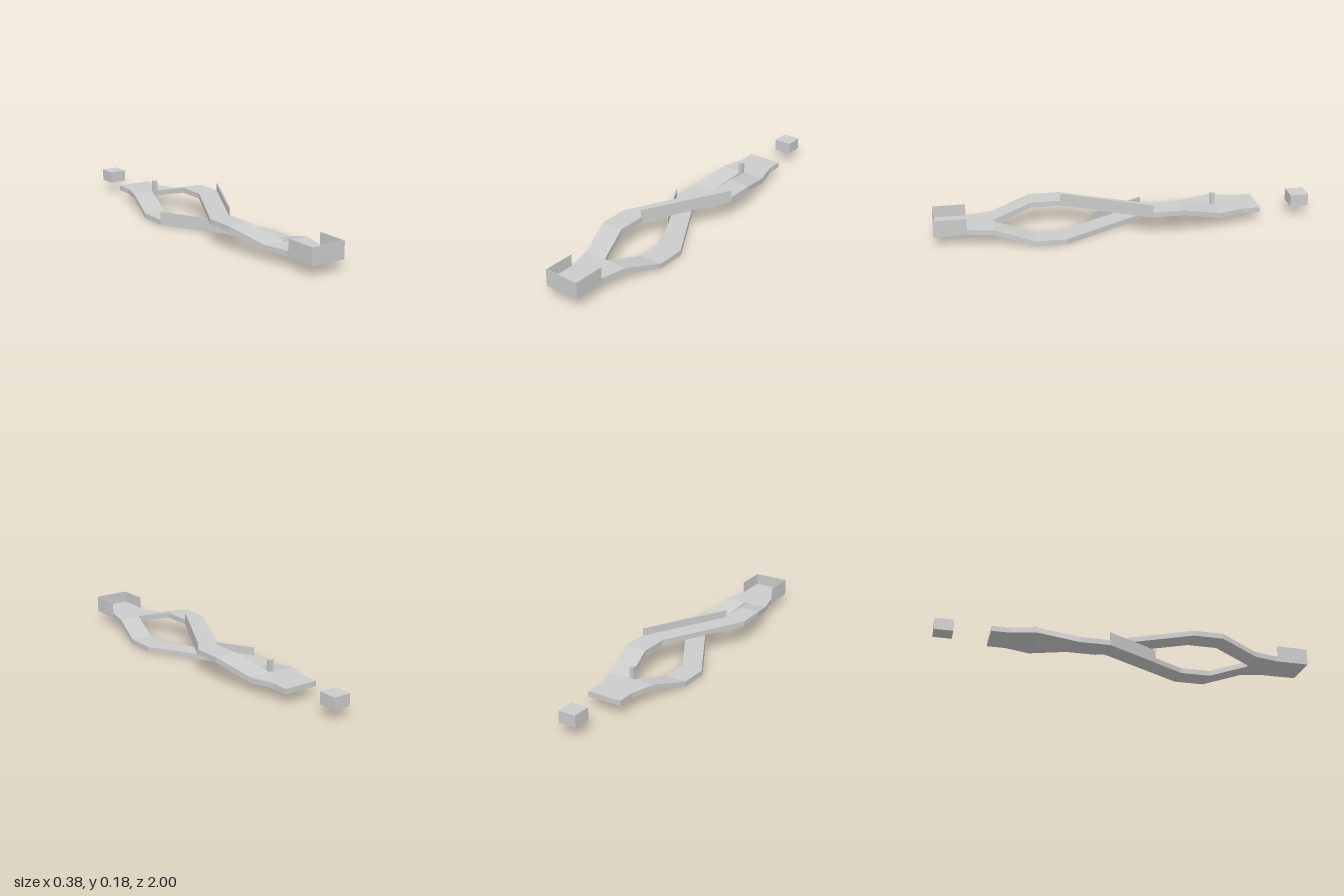
import * as THREE from 'three';

const material = new THREE.MeshStandardMaterial({ color: 0xcccccc, flatShading: true });
const THICK = 0.028;

// Solid ribbon lofted through rows of [z, left x, right x, top y], front to back.
function ribbon(name, rows, height = THICK) {
  const sections = rows.map(([z, x0, x1, y]) => [
    [x0, y, z], [x1, y, z], [x1, y - height, z], [x0, y - height, z],
  ]);
  const positions = [];
  const quad = (a, b, c, d) => positions.push(...a, ...b, ...c, ...a, ...c, ...d);
  for (let s = 0; s < sections.length - 1; s++) {
    const f = sections[s], b = sections[s + 1];
    for (let i = 0; i < 4; i++) {
      const j = (i + 1) % 4;
      quad(f[i], f[j], b[j], b[i]);
    }
  }
  const first = sections[0], last = sections[sections.length - 1];
  quad(first[0], first[3], first[2], first[1]);
  quad(last[0], last[1], last[2], last[3]);
  const geometry = new THREE.BufferGeometry();
  geometry.setAttribute('position', new THREE.Float32BufferAttribute(positions, 3));
  geometry.computeVertexNormals();
  const mesh = new THREE.Mesh(geometry, material);
  mesh.name = name;
  return mesh;
}

// Box given by its minimum and maximum along each axis.
function block(name, [x0, x1], [y0, y1], [z0, z1]) {
  const mesh = new THREE.Mesh(new THREE.BoxGeometry(x1 - x0, y1 - y0, z1 - z0), material);
  mesh.position.set((x0 + x1) / 2, (y0 + y1) / 2, (z0 + z1) / 2);
  mesh.name = name;
  return mesh;
}

export function createModel() {
  const model = new THREE.Group();
  model.name = 'crossingTrack';
  const deck = 0.083, high = 0.137, low = THICK;

  // End platforms, flaring toward the fork
  model.add(
    ribbon('frontPlatform', [
      [1, -0.085, 0.108, deck], [0.82, -0.085, 0.108, deck], [0.69, -0.116, 0.138, deck],
    ]),
    ribbon('backPlatform', [
      [-0.49, -0.135, 0.127, deck], [-0.62, -0.1, 0.09, deck], [-0.715, -0.1, 0.09, deck],
    ]),
  );

  // Bridge lane climbs and crosses from right to left
  model.add(ribbon('upperLane', [
    [0.69, -0.116, 0.003, deck],
    [0.49, -0.18, -0.06, high],
    [0.33, -0.18, -0.06, high],
    [-0.12, 0.055, 0.178, high],
    [-0.28, 0.055, 0.178, high],
    [-0.49, 0.005, 0.127, deck],
  ]));

  // Underpass lane dips and crosses the other way
  model.add(ribbon('lowerLane', [
    [0.69, 0.019, 0.138, deck],
    [0.49, 0.065, 0.188, low],
    [0.33, 0.065, 0.188, low],
    [-0.12, -0.19, -0.068, low],
    [-0.28, -0.19, -0.068, low],
    [-0.49, -0.135, -0.018, deck],
  ]));

  // Guard rails along the diagonal edges
  model.add(
    ribbon('upperRail', [[0.33, -0.067, -0.059, 0.177], [-0.12, 0.17, 0.179, 0.177]], 0.067),
    ribbon('lowerRail', [[0.16, -0.034, -0.028, 0.072], [-0.12, -0.191, -0.185, 0.072]], 0.072),
  );

  // Thin walls around the front platform
  const wallY = [0.055, 0.145], wallZ = [0.83, 1];
  model.add(
    block('frontWall', [-0.085, 0.108], wallY, [0.997, 1]),
    block('rightWall', [-0.085, -0.082], wallY, wallZ),
    block('leftWall', [0.105, 0.108], wallY, wallZ),
  );

  // Post at the back fork and detached block beyond it
  model.add(
    block('forkPost', [-0.018, 0.005], [0.055, 0.145], [-0.49, -0.467]),
    block('endBlock', [-0.054, 0.042], [0.055, 0.118], [-1, -0.902]),
  );

  return model;
}
